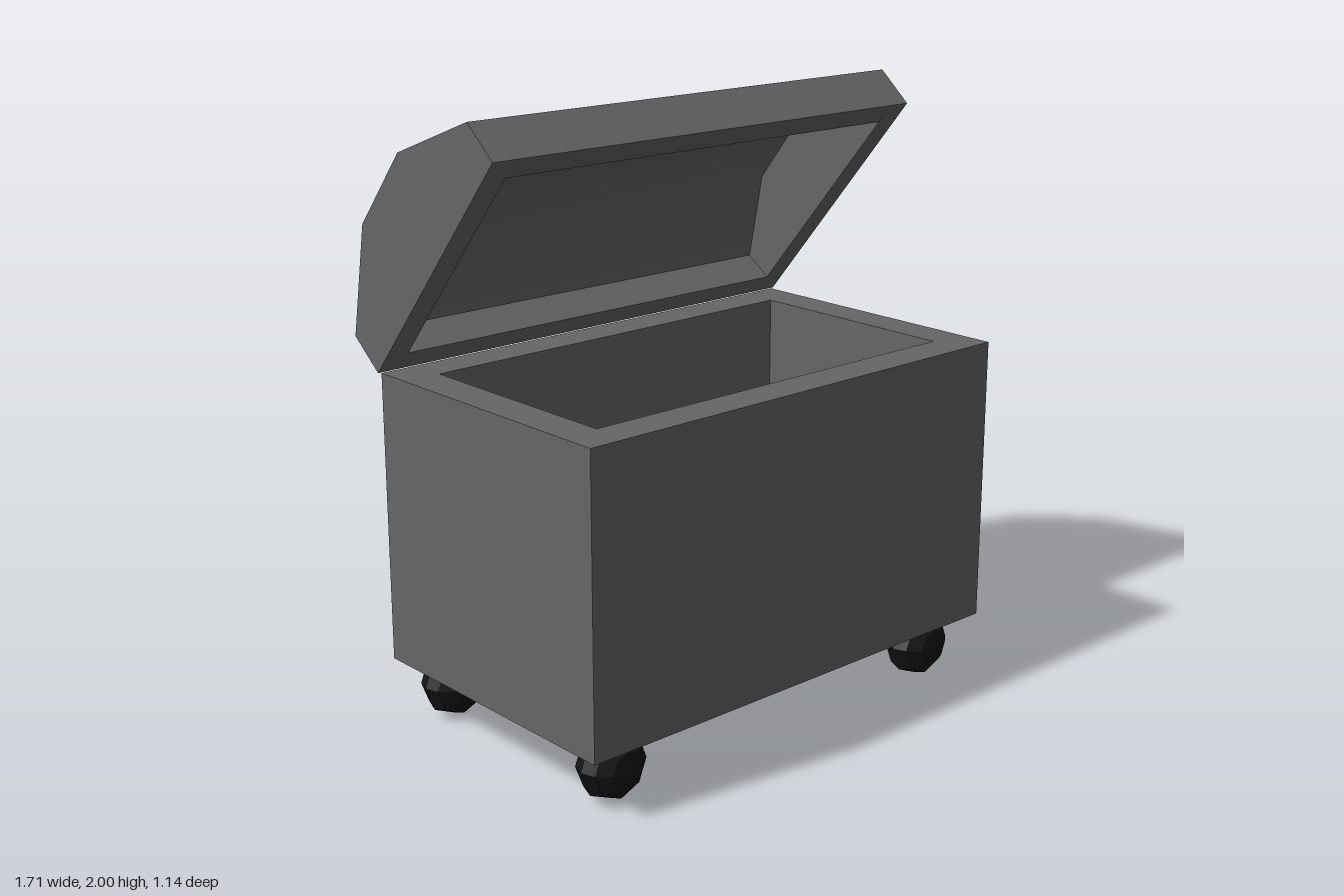
import * as THREE from 'three';
import { mergeGeometries, toCreasedNormals } from 'three/addons/utils/BufferGeometryUtils.js';

const shapeOf = (pts) => new THREE.Shape(pts.map(([a, b]) => new THREE.Vector2(a, b)));

// Turns a flat shape drawn in (z, y) into a geometry running along x.
function alongX(geometry, x) {
  geometry.rotateY(-Math.PI / 2); // shape x -> +z, depth -> -x
  geometry.translate(x, 0, 0);
  return geometry;
}

function extrude(shape, depth) {
  return new THREE.ExtrudeGeometry(shape, { depth, bevelEnabled: false });
}

export function createModel() {
  const model = new THREE.Group();
  const grey = new THREE.MeshStandardMaterial({ color: 0x666666 });
  const black = new THREE.MeshStandardMaterial({ color: 0x141414, flatShading: true });

  const add = (name, geometry, material) => {
    const mesh = new THREE.Mesh(geometry, material);
    mesh.name = name;
    model.add(mesh);
    return mesh;
  };

  // Chest walls: a rectangular frame extruded upwards
  const x0 = -0.845, x1 = 0.838, zBack = -0.443, zFront = 0.57, t = 0.127;
  const bottom = 0.21, top = 1.165;
  const rect = (i) => [
    [x0 + i, -zFront + i], [x1 - i, -zFront + i], [x1 - i, -zBack - i], [x0 + i, -zBack - i],
  ];
  const walls = shapeOf(rect(0));
  walls.holes.push(shapeOf(rect(t)));
  const wallGeometry = extrude(walls, top - bottom);
  wallGeometry.rotateX(-Math.PI / 2);
  wallGeometry.translate(0, bottom, 0);
  add('chestWalls', wallGeometry, grey);

  // Chest floor
  const floor = add('chestFloor', new THREE.BoxGeometry(x1 - x0 - 2 * t, t, zFront - zBack - 2 * t), grey);
  floor.position.set((x0 + x1) / 2, bottom + t / 2, (zFront + zBack) / 2);

  // Lid: hollow vault, open towards the chest; profiles in (z, y)
  const outer = [[0.17, 1.9], [0.055, 2], [-0.295, 1.87], [-0.5, 1.625], [-0.568, 1.26], [-0.45, 1.165]];
  const inner = [[0.118, 1.84], [0.02, 1.925], [-0.255, 1.805], [-0.43, 1.585], [-0.49, 1.29], [-0.398, 1.226]];
  const lidX = 0.853, cap = 0.08;
  const shell = alongX(extrude(shapeOf([...outer, ...inner.slice().reverse()]), 2 * (lidX - cap)), lidX - cap);
  const caps = [lidX, -lidX + cap].map((x) => alongX(extrude(shapeOf(outer), cap), x));
  add('lid', toCreasedNormals(mergeGeometries([shell, ...caps]), 0.7), grey);

  // Feet: low-poly flattened balls
  const footGeometry = new THREE.SphereGeometry(0.12, 8, 6);
  footGeometry.rotateX(Math.PI / 2);
  footGeometry.scale(0.96, 1, 0.77);
  for (const x of [-0.68, 0.675]) {
    for (const z of [-0.345, 0.445]) {
      add('foot', footGeometry, black).position.set(x, 0.12, z);
    }
  }
  return model;
}
